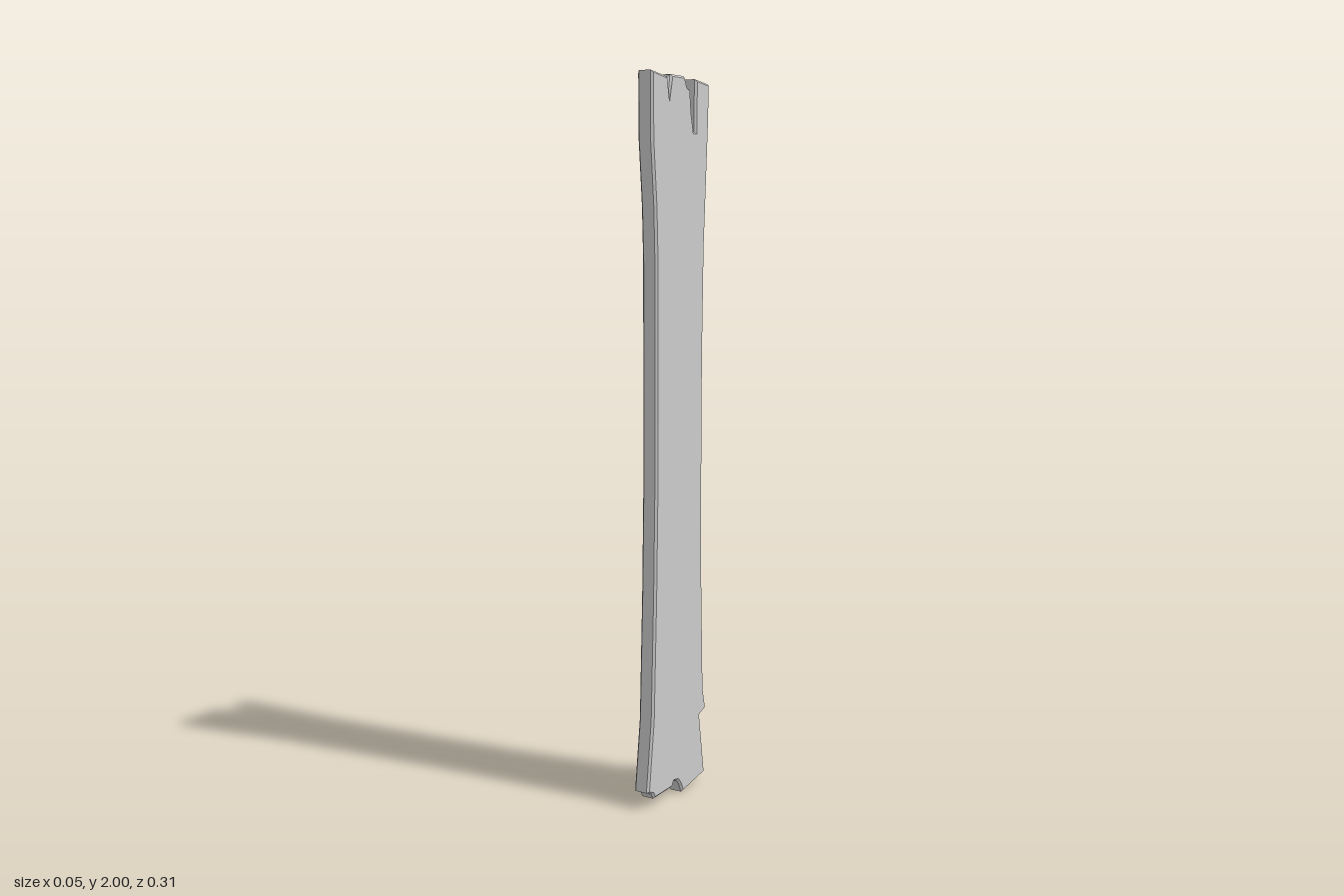
import * as THREE from 'three';
import { toCreasedNormals } from 'three/addons/utils/BufferGeometryUtils.js';

const THICKNESS = 0.048;
const BEVEL = 0.006;

// Outline of the broken plank: [across, height], counter-clockwise
const OUTLINE = [
  // ragged bottom end
  [-0.153, 0.05], [-0.129, 0.04], [-0.121, 0.025], [-0.032, 0.03], [-0.022, 0.045], [-0.005, 0.042],
  [0.008, 0.026], [0.02, 0.0], [0.137, 0.025],
  // back edge with a split sliver
  [0.111, 0.203], [0.143, 0.217], [0.129, 0.28], [0.118, 0.7], [0.121, 1.24], [0.128, 1.54], [0.148, 1.87],
  // ragged top end with a deep split and a small crack
  [0.152, 1.98], [0.083, 1.99], [0.081, 1.85], [0.074, 1.85], [0.063, 1.9], [0.057, 1.96],
  [0.041, 1.968], [0.03, 1.994], [-0.036, 1.995], [-0.046, 1.93], [-0.052, 1.988], [-0.127, 2.0],
  // front edge
  [-0.126, 1.82], [-0.112, 1.65], [-0.107, 1.5], [-0.109, 0.9], [-0.116, 0.6], [-0.129, 0.25],
];

// Slice of wood that keeps the small crack from going right through
const CRACK_CORE = [[-0.036, 1.993], [-0.052, 1.986], [-0.046, 1.925]];

// Extrudes an outline across the plank's thickness, centred on x = 0
function slab(points, thickness, bevel) {
  const shape = new THREE.Shape(points.map(([u, y]) => new THREE.Vector2(u, y)));
  const depth = thickness - 2 * bevel;
  const geometry = new THREE.ExtrudeGeometry(shape, {
    depth,
    bevelEnabled: bevel > 0,
    bevelSize: bevel,
    bevelThickness: bevel,
    bevelOffset: -bevel,
    bevelSegments: 1,
  });
  geometry.translate(0, 0, -depth / 2);
  geometry.rotateY(Math.PI / 2);
  return toCreasedNormals(geometry, 0.4);
}

export function createModel() {
  const group = new THREE.Group();
  group.name = 'woodenPlank';
  const material = new THREE.MeshStandardMaterial({ color: 0xcccccc });

  const plank = new THREE.Mesh(slab(OUTLINE, THICKNESS, BEVEL), material);
  plank.name = 'plank';

  const crackCore = new THREE.Mesh(slab(CRACK_CORE, THICKNESS - 2 * BEVEL, 0), material);
  crackCore.name = 'crackCore';

  group.add(plank, crackCore);
  return group;
}
